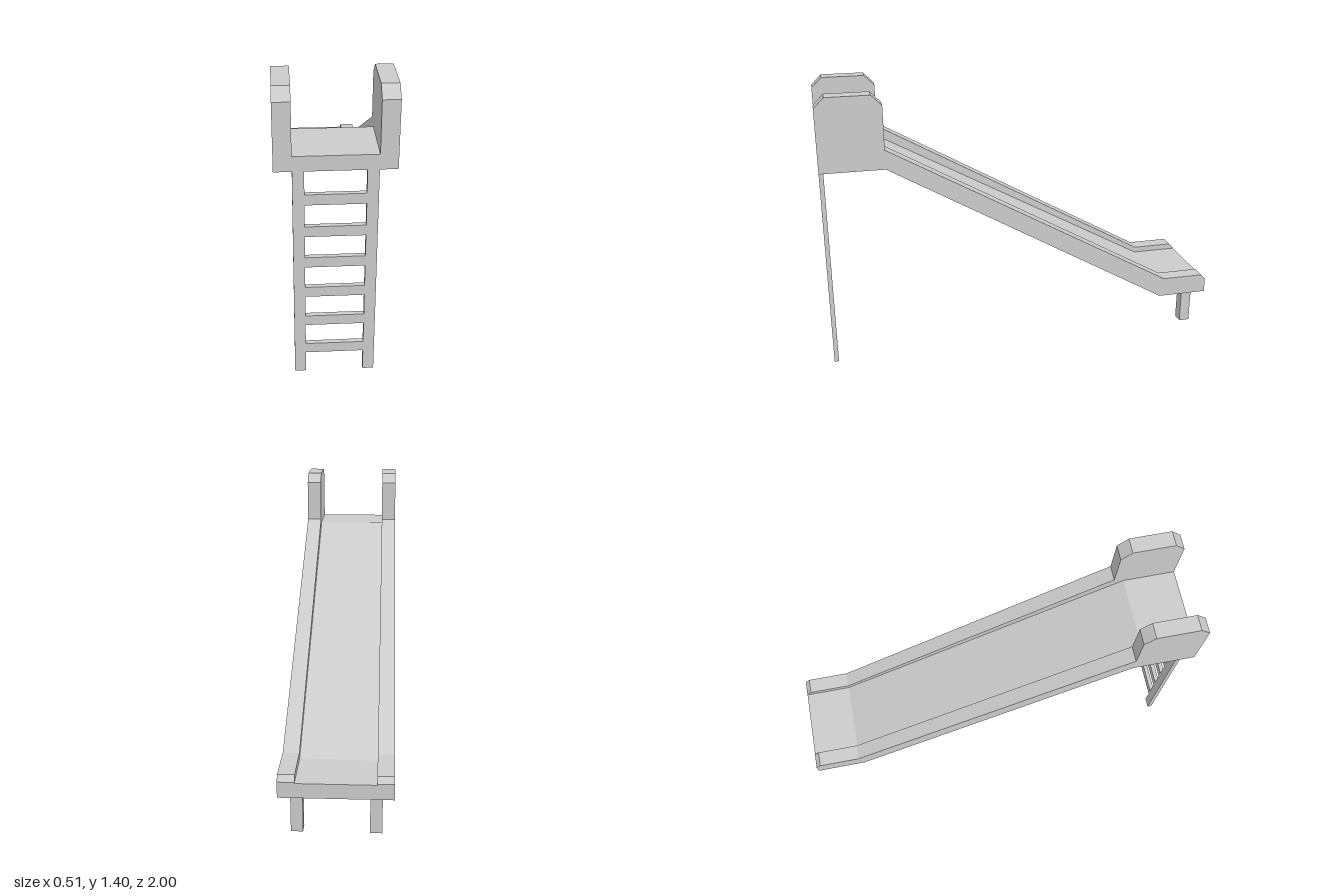
import * as THREE from 'three';

const material = new THREE.MeshStandardMaterial({ color: 0xcccccc, flatShading: true });

// Extrude a side profile of [z, y] points across x, from x0 to x1
function sideProfile(name, points, x0, x1) {
  const shape = new THREE.Shape(points.map(([z, y]) => new THREE.Vector2(-z, y)));
  const geometry = new THREE.ExtrudeGeometry(shape, { depth: x1 - x0, bevelEnabled: false });
  geometry.rotateY(Math.PI / 2);
  geometry.translate(x0, 0, 0);
  const mesh = new THREE.Mesh(geometry, material);
  mesh.name = name;
  return mesh;
}

// Box given by its extents on each axis
function box(name, [x0, x1], [y0, y1], [z0, z1]) {
  const mesh = new THREE.Mesh(new THREE.BoxGeometry(x1 - x0, y1 - y0, z1 - z0), material);
  mesh.position.set((x0 + x1) / 2, (y0 + y1) / 2, (z0 + z1) / 2);
  mesh.name = name;
  return mesh;
}

// Ladder with stiles and six rungs, cut as one flat panel
function createLadder() {
  const outer = 0.18, inner = 0.13, top = 1.04, step = 0.155, first = 0.105, rung = 0.05;
  const shape = new THREE.Shape([
    [-outer, 0], [-inner, 0], [-inner, first], [inner, first],
    [inner, 0], [outer, 0], [outer, top], [inner, top],
    [inner, first + 5 * step + rung], [-inner, first + 5 * step + rung],
    [-inner, top], [-outer, top],
  ].map(([x, y]) => new THREE.Vector2(x, y)));
  for (let i = 0; i < 5; i++) {
    const y0 = first + i * step + rung, y1 = first + (i + 1) * step;
    shape.holes.push(new THREE.Path([
      new THREE.Vector2(-inner, y0), new THREE.Vector2(-inner, y1),
      new THREE.Vector2(inner, y1), new THREE.Vector2(inner, y0),
    ]));
  }
  const geometry = new THREE.ExtrudeGeometry(shape, { depth: 0.022, bevelEnabled: false });
  geometry.translate(0, 0, 0.978);
  const mesh = new THREE.Mesh(geometry, material);
  mesh.name = 'ladder';
  return mesh;
}

export function createModel() {
  const group = new THREE.Group();
  group.name = 'slide';

  // Platform, chute and run-out in one folded bed
  group.add(sideProfile('slideBed', [
    [1, 1.04], [0.69, 1.04], [-0.74, 0.21], [-1, 0.21],
    [-1, 0.28], [-0.76, 0.28], [0.74, 1.11], [1, 1.11],
  ], -0.18, 0.18));

  // Side walls with tall chamfered guards at the platform
  const wall = [
    [1, 1.04], [0.69, 1.04], [-0.74, 0.21], [-1, 0.21],
    [-1, 0.285], [-0.975, 0.31], [-0.76, 0.31], [0.69, 1.135],
    [0.69, 1.35], [0.74, 1.4], [0.95, 1.4], [1, 1.35],
  ];
  group.add(sideProfile('leftWall', wall, 0.18, 0.257));
  group.add(sideProfile('rightWall', wall, -0.257, -0.18));

  // Short legs under the run-out
  group.add(box('leftLeg', [0.15, 0.205], [0.015, 0.21], [-0.947, -0.892]));
  group.add(box('rightLeg', [-0.205, -0.15], [0.015, 0.21], [-0.947, -0.892]));

  group.add(createLadder());
  return group;
}
